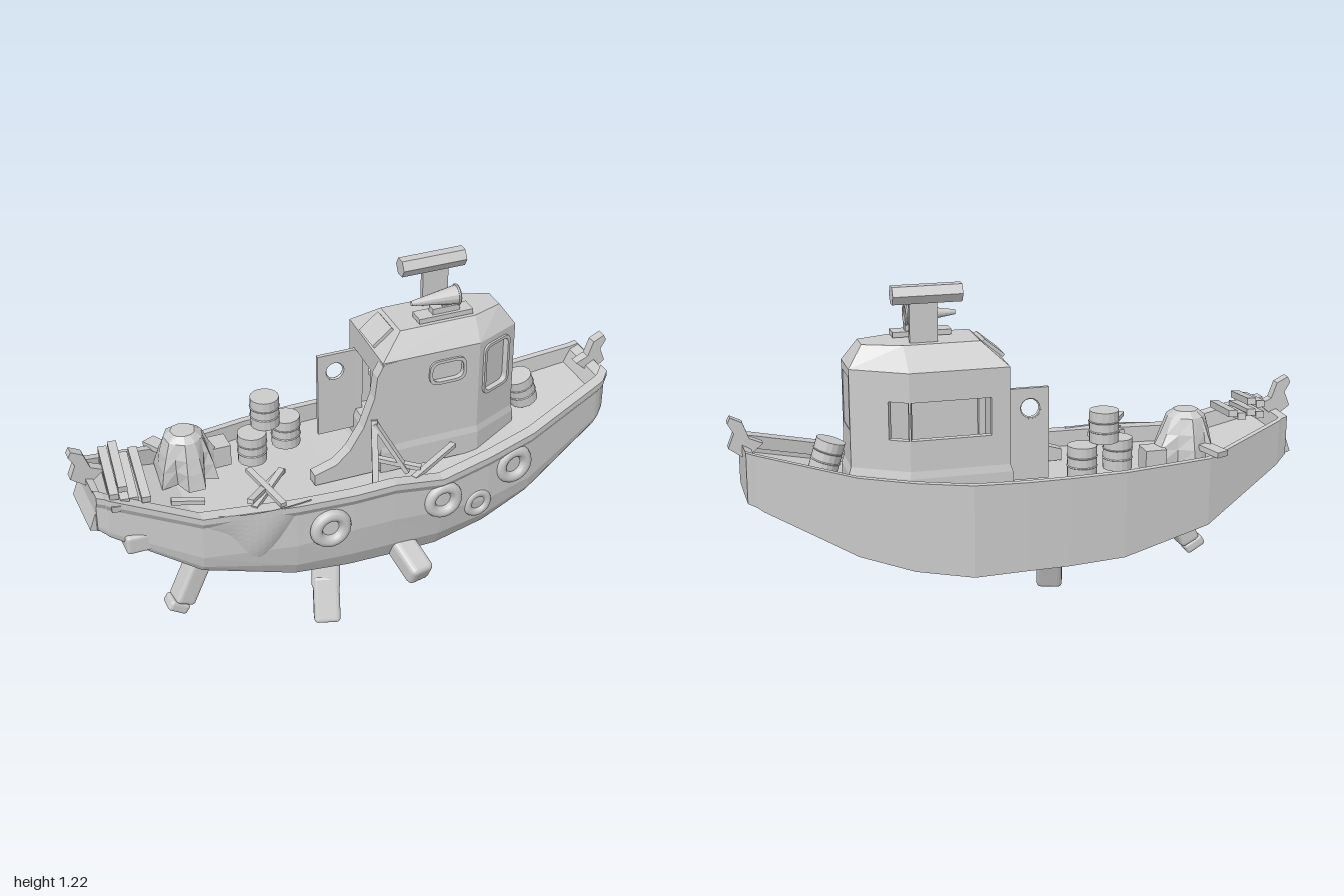
import * as THREE from 'three';
import { RoundedBoxGeometry } from 'three/addons/geometries/RoundedBoxGeometry.js';

const V = (x, y, z) => new THREE.Vector3(x, y, z);

export function createModel() {
  const root = new THREE.Group();
  const flat = new THREE.MeshStandardMaterial({ color: 0xcccccc, flatShading: true, side: THREE.DoubleSide });
  const smooth = new THREE.MeshStandardMaterial({ color: 0xcccccc });

  const add = (name, geo, x = 0, y = 0, z = 0, parent = root, mat = flat) => {
    const m = new THREE.Mesh(geo, mat);
    m.name = name;
    m.position.set(x, y, z);
    parent.add(m);
    return m;
  };
  const box = (name, w, h, d, x, y, z) => add(name, new THREE.BoxGeometry(w, h, d), x, y, z);
  // Straight bar between two points
  const beam = (name, a, b, w, h, r = 0) => {
    const len = a.distanceTo(b);
    const geo = r ? new RoundedBoxGeometry(w, h, len, 2, r) : new THREE.BoxGeometry(w, h, len);
    const m = add(name, geo);
    m.position.copy(a).lerp(b, 0.5);
    m.lookAt(b);
    return m;
  };
  // Closed skin through matching rings, with end caps
  const loft = (rings) => {
    const n = rings[0].length, idx = [], last = (rings.length - 1) * n;
    for (let i = 0; i < rings.length - 1; i++) for (let j = 0; j < n; j++) {
      const a = i * n + j, d = i * n + (j + 1) % n;
      idx.push(a, a + n, d, a + n, d + n, d);
    }
    for (let j = 1; j < n - 1; j++) idx.push(0, j, j + 1, last, last + j + 1, last + j);
    const g = new THREE.BufferGeometry().setFromPoints(rings.flat());
    g.setIndex(idx);
    const out = g.toNonIndexed();
    out.computeVertexNormals();
    return out;
  };
  const extrude = (shape, depth) => new THREE.ExtrudeGeometry(shape, { depth, bevelEnabled: false, curveSegments: 8 });
  const outline = (pts) => new THREE.Shape(pts.map(([x, y]) => new THREE.Vector2(x, y)));
  const roundRect = (cx, cy, w, h, r, C = THREE.Shape) => {
    const s = new C(), x = cx - w / 2, y = cy - h / 2, X = cx + w / 2, Y = cy + h / 2;
    s.moveTo(x + r, y); s.lineTo(X - r, y); s.quadraticCurveTo(X, y, X, y + r);
    s.lineTo(X, Y - r); s.quadraticCurveTo(X, Y, X - r, Y);
    s.lineTo(x + r, Y); s.quadraticCurveTo(x, Y, x, Y - r);
    s.lineTo(x, y + r); s.quadraticCurveTo(x, y, x + r, y);
    return s;
  };

  // Hull stations: x, back z, front z, back rim y, front rim y, keel y, well depth, squareness
  const stations = [
    [-0.945, -0.16, 0.09, 0.69, 0.69, 0.55, 0, 1],
    [-0.92, -0.17, 0.1, 0.685, 0.685, 0.53, 0.002, 1],
    [-0.91, -0.175, 0.105, 0.68, 0.68, 0.52, 0.05, 1],
    [-0.62, -0.27, 0.19, 0.595, 0.58, 0.33, 0.05, 0.6],
    [-0.3, -0.325, 0.235, 0.59, 0.575, 0.22, 0.05, 0.2],
    [-0.1, -0.337, 0.245, 0.59, 0.572, 0.19, 0.05, 0],
    [0.05, -0.34, 0.245, 0.59, 0.575, 0.187, 0.05, 0],
    [0.23, -0.34, 0.238, 0.595, 0.545, 0.19, 0.05, 0],
    [0.42, -0.295, 0.215, 0.605, 0.575, 0.25, 0.05, 0.4],
    [0.6, -0.25, 0.18, 0.625, 0.605, 0.33, 0.05, 0.7],
    [0.9, -0.18, 0.095, 0.7, 0.69, 0.51, 0.05, 1],
    [0.92, -0.175, 0.085, 0.705, 0.695, 0.525, 0.002, 1],
    [0.95, -0.17, 0.055, 0.715, 0.71, 0.54, 0, 1],
  ];
  add('hull', loft(stations.map(([x, b, f, yb, yf, k, d, e]) => {
    const H = yf - k, c = -0.055, t = 0.025, deck = Math.min(yb, yf) - d;
    const side = (u, v) => V(x, k + u * H * (1 - 0.7 * e), c + THREE.MathUtils.lerp(v, 1, 0.6 * e) * (f - c));
    return [V(x, yb, b), V(x, k + 0.23 * H * (1 - e), b + 0.003), V(x, k, c), side(0.07, 0.68), side(0.15, 0.84),
      side(0.32, 0.94), side(0.62, 1), V(x, yf, f),
      V(x, yf, f - t), V(x, deck, f - t), V(x, deck, b + t), V(x, yb, b + t)];
  })));
  // Gunwale strip on the front side, undercut below
  add('gunwale', loft(stations.map(([x, , f, , y]) =>
    [V(x, y + 0.01, f - 0.03), V(x, y - 0.035, f - 0.03), V(x, y - 0.035, f + 0.002), V(x, y - 0.012, f + 0.016), V(x, y + 0.01, f + 0.016)])));
  box('sternBeam', 0.05, 0.085, 0.22, -0.93, 0.588, -0.035).rotation.z = -0.35;
  beam('sideBlock', V(-0.81, 0.5, 0.05), V(-0.81, 0.5, 0.14), 0.11, 0.07, 0.012);

  // Cleat plates at both ends
  const cleat = outline([[0.94, 0.66], [0.88, 0.71], [0.925, 0.73], [0.945, 0.785], [0.985, 0.805],
    [0.995, 0.785], [0.975, 0.75], [0.995, 0.7]]);
  for (const s of [1, -1]) add('cleat', extrude(cleat, 0.035), 0, 0, -0.0625).scale.x = s;

  // Cloth fold hung over the side, bulging in the middle
  const cloth = new THREE.PlaneGeometry(0.38, 1, 16, 8);
  const cp = cloth.attributes.position;
  for (let i = 0; i < cp.count; i++) {
    const x = cp.getX(i), u = 0.5 - cp.getY(i), bulge = Math.cos(x * Math.PI / 0.38);
    const drop = 0.11 + 0.09 * bulge + 0.02 * Math.sin(x * 22);
    cp.setXYZ(i, x - 0.44, 0.59 - u * drop, 0.209 + 0.127 * x + 0.03 * bulge + 0.01 * Math.sin(x * 26 + u * 2) * u - 0.035 * u * u);
  }
  cloth.computeVertexNormals();
  add('drapedCloth', cloth);

  // Tyre fenders
  for (const [x, y, z, r] of [[-0.185, 0.46, 0.243, 0.075], [0.235, 0.46, 0.238, 0.072], [0.38, 0.392, 0.21, 0.057], [0.525, 0.505, 0.192, 0.075]])
    add('tyre', new THREE.TorusGeometry(r * 0.7, r * 0.3, 8, 20), x, y, z, root, smooth).rotation.y = x > 0.3 ? 0.1 : 0;

  // Stubby legs
  beam('sternLeg', V(-0.575, 0.38, 0.06), V(-0.675, 0.17, 0.07), 0.08, 0.075, 0.015);
  beam('sternFoot', V(-0.725, 0.18, 0.07), V(-0.66, 0.14, 0.07), 0.07, 0.04, 0.012);
  beam('middleLeg', V(-0.14, 0.3, 0.08), V(-0.165, 0.12, 0.14), 0.1, 0.068, 0.015);
  beam('middleFoot', V(-0.16, 0.17, 0.125), V(-0.18, 0.008, 0.188), 0.093, 0.066, 0.015);
  beam('frontLeg', V(0.08, 0.31, 0.12), V(0.125, 0.215, 0.32), 0.09, 0.085, 0.02);

  // Cabin walls, following the plan around from the stern corner of the front side
  const plan = [[0.07, 0.085], [0.43, 0.085], [0.6, 0.01], [0.6, -0.13], [0.42, -0.235], [0.08, -0.235]];
  const cabin = new THREE.Group();
  cabin.name = 'cabin';
  root.add(cabin);
  // Openings: local centre x, y, width, height, corner radius, glazed; the back one wraps its corner
  const openings = [[0.24, 0.88, 0.12, 0.075, 0.03, true], [0.088, 0.84, 0.115, 0.18, 0.025, true],
    [0.07, 0.84, 0.11, 0.18, 0.004, true], [0.17, 0.795, 0.07, 0.13, 0.002, false],
    [0.14, 0.795, 0.272, 0.13, 0.002, false], [0.13, 0.72, 0.14, 0.3, 0.004, false]];
  plan.forEach((p, i) => {
    const q = plan[(i + 1) % plan.length], dx = q[0] - p[0], dz = q[1] - p[1], len = Math.hypot(dx, dz);
    const g = new THREE.Group();
    g.name = 'cabinWall';
    g.position.set(p[0], 0, p[1]);
    g.rotation.y = -Math.atan2(dz, dx);
    cabin.add(g);
    const s = outline([[0, 0.53], [len, 0.53], [len, 0.955], [0, 0.955]]);
    const [x, y, w, h, r, glazed] = openings[i];
    s.holes.push(roundRect(x, y, w, h, r, THREE.Path));
    add('wallPanel', extrude(s, 0.025), 0, 0, -0.025, g);
    if (!glazed) return;
    add('windowPane', new THREE.BoxGeometry(w, h, 0.006), x, y, i > 1 ? -0.005 : -0.018, g);
    if (i > 1) return;
    const frame = roundRect(x, y, w + 0.018, h + 0.018, r + 0.006);
    frame.holes.push(roundRect(x, y, w - 0.004, h - 0.004, r, THREE.Path));
    add('windowFrame', extrude(frame, 0.008), 0, 0, 0, g);
  });
  const ring = (pts, y, k = 1) => pts.map(([x, z]) => V(0.34 + (x - 0.34) * k, y, -0.075 + (z + 0.075) * k));
  const top = [[0.16, 0.02], [0.44, 0.02], [0.55, -0.02], [0.55, -0.1], [0.42, -0.15], [0.16, -0.15]];
  add('roof', loft([ring(top, 1.033), ring(plan, 0.96), ring(plan, 0.945)]), 0, 0, 0, cabin);
  add('cabinSkirt', loft([ring(plan, 0.625), ring(plan, 0.6, 1.03), ring(plan, 0.52, 1.03)]), 0, 0, 0, cabin);
  const hatch = add('roofHatch', new THREE.BoxGeometry(0.09, 0.012, 0.12), 0.11, 1.0, -0.07, cabin);
  hatch.rotation.z = 0.68;

  // Curved wing wall sweeping down to the deck
  const wing = outline([[0.12, 0.958], [0.075, 0.955], [0.05, 0.91], [0.04, 0.83], [0.0, 0.72], [-0.05, 0.64],
    [-0.1, 0.595], [-0.18, 0.57], [-0.18, 0.53], [0.12, 0.53]]);
  add('wingWall', extrude(wing, 0.045), 0, 0, 0.041);

  // Open door with porthole
  const door = outline([[-0.065, 0.55], [0.08, 0.55], [0.08, 0.87], [-0.065, 0.87]]);
  door.holes.push(new THREE.Path().absarc(0, 0.8, 0.038, 0, Math.PI * 2, true));
  add('door', extrude(door, 0.015), 0, 0, -0.19);
  add('porthole', new THREE.TorusGeometry(0.038, 0.008, 6, 16), 0, 0.8, -0.182);

  // Horn on its stand
  box('hornBase', 0.2, 0.018, 0.06, 0.335, 1.045, -0.02);
  box('hornStand', 0.1, 0.025, 0.035, 0.34, 1.063, -0.02);
  box('hornPost', 0.025, 0.04, 0.02, 0.34, 1.08, -0.02);
  add('horn', new THREE.CylinderGeometry(0.034, 0.008, 0.17, 14, 1, true), 0.3, 1.105, -0.02).rotation.z = -Math.PI / 2;
  add('hornRim', new THREE.TorusGeometry(0.033, 0.005, 6, 16), 0.385, 1.105, -0.02).rotation.y = Math.PI / 2;
  add('hornBell', new THREE.CircleGeometry(0.032, 14), 0.38, 1.105, -0.02).rotation.y = Math.PI / 2;

  // Radar mast with hexagonal bar
  box('mast', 0.095, 0.17, 0.018, 0.345, 1.11, -0.115);
  const bar = add('radarBar', new THREE.CylinderGeometry(0.034, 0.034, 0.235, 6), 0.333, 1.195, -0.115);
  bar.rotation.z = Math.PI / 2;

  // Barrels with raised hoops
  const half = [[0, 0], [0.051, 0], [0.051, 0.036], [0.054, 0.038], [0.051, 0.041],
    [0.051, 0.07], [0.054, 0.073], [0.051, 0.075], [0.051, 0.11], [0, 0.11]];
  const barrel = new THREE.LatheGeometry(half.map(([r, y]) => new THREE.Vector2(r, y)), 16);
  for (const [x, y, z, tilt] of [[-0.33, 0.545, -0.13, 0], [-0.185, 0.545, -0.185, 0], [-0.268, 0.657, -0.165, 0], [0.685, 0.595, -0.05, 0.3]])
    add('barrel', barrel, x, y, z).rotation.z = tilt;

  // Tarpaulin heap: a pleated star outline shrinking towards the top
  const star = [[-0.66, -0.23], [-0.67, -0.14], [-0.68, -0.06], [-0.62, -0.07], [-0.6, -0.01], [-0.54, -0.01], [-0.53, -0.07],
    [-0.48, -0.05], [-0.49, -0.12], [-0.43, -0.14], [-0.44, -0.2], [-0.53, -0.19], [-0.58, -0.23], [-0.63, -0.2]];
  const pleat = (y, k, round) => star.map(([x, z]) => {
    const dx = x + 0.58, dz = z + 0.12, s = THREE.MathUtils.lerp(1, 0.085 / Math.hypot(dx, dz), round) * k;
    return V(-0.58 + dx * s, y, -0.12 + dz * s);
  });
  add('tarpaulinHeap', loft([pleat(0.735, 0.5, 1), pleat(0.715, 0.78, 0.9), pleat(0.66, 0.95, 0.75), pleat(0.61, 1, 0.4), pleat(0.55, 1, 0)]));
  beam('tarpaulinFlap', V(-0.61, 0.62, -0.17), V(-0.66, 0.61, -0.28), 0.05, 0.02);
  box('crate', 0.075, 0.08, 0.08, -0.445, 0.58, -0.17);

  // Plank stack across the stern
  for (let i = 0; i < 6; i++) {
    const x = -0.872 + (i % 4) * 0.034, y = 0.66 + (i > 3 ? 0.04 : 0) + 0.012 * (i % 2);
    beam('plank', V(x + 0.012, y + 0.03, -0.12), V(x - 0.015, y - 0.005, 0.13 - 0.015 * (i % 3)), 0.03, 0.024);
  }
  // Loose planks by the front rim
  const loose = [[-0.46, 0.63, 0.22, -0.27, 0.57, 0.01], [-0.35, 0.6, 0.24, -0.4, 0.62, 0.03], [-0.44, 0.585, 0.2, -0.29, 0.61, 0.06],
    [-0.69, 0.6, 0.08, -0.58, 0.585, 0.1], [0.035, 0.75, 0.095, 0.01, 0.54, 0.17], [0.035, 0.74, 0.1, 0.13, 0.56, 0.17],
    [0.13, 0.565, 0.22, 0.33, 0.585, 0.11], [0.03, 0.6, 0.1, 0.17, 0.58, 0.19]];
  for (const [a, b, c, d, e, f] of loose) beam('loosePlank', V(a, b, c), V(d, e, f), 0.022, 0.016);

  return root;
}
